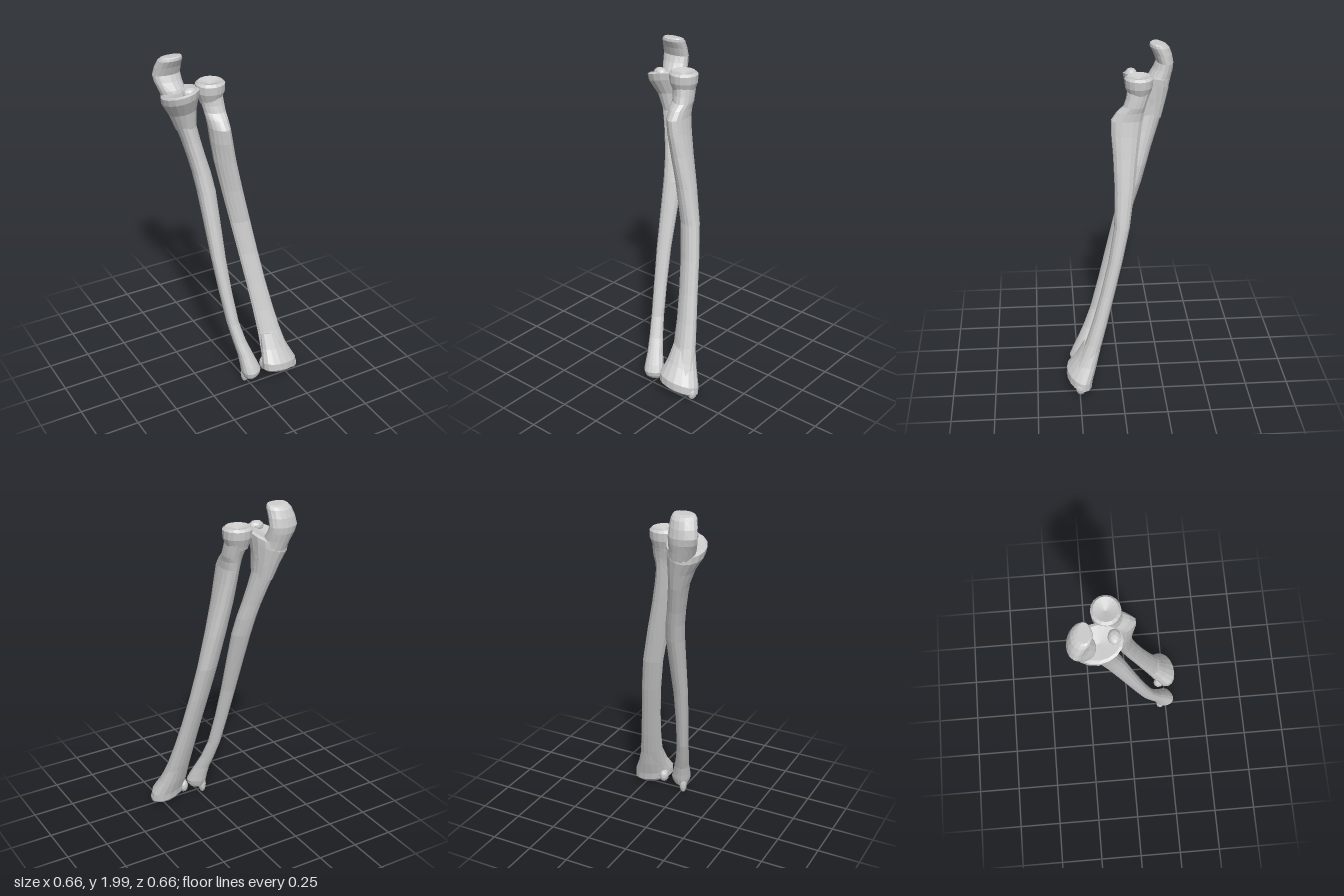
import * as THREE from 'three';

const SIDES = 16;
const grey = new THREE.MeshStandardMaterial({ color: 0xcccccc, flatShading: true });

function addMesh(group, name, geometry, x = 0, y = 0, z = 0) {
  const mesh = new THREE.Mesh(geometry, grey);
  mesh.name = name;
  mesh.position.set(x, y, z);
  group.add(mesh);
  return mesh;
}

// Skin of elliptical rings along a smooth path, from top to bottom.
// Station: [y, centreX, centreZ, radiusX, radiusZ]; tri makes the section slightly three-sided.
function loft(stations, { steps = 2, yaw = 0, slopeX = 0, slopeZ = 0, tri = 0, ridge = 0, dip = 0 }) {
  const spline = (pick) => new THREE.CatmullRomCurve3(stations.map(pick), false, 'catmullrom');
  const path = spline(([y, x, z]) => new THREE.Vector3(x, y, z));
  const size = spline(([, , , rx, rz]) => new THREE.Vector3(rx, 0, rz));
  const last = (stations.length - 1) * steps;
  const pos = [], index = [];
  for (let r = 0; r <= last; r++) {
    const c = path.getPoint(r / last), s = size.getPoint(r / last);
    for (let i = 0; i < SIDES; i++) {
      const a = (i / SIDES) * Math.PI * 2;
      const k = 1 + tri * Math.cos(3 * (a - ridge));
      const u = s.x * k * Math.cos(a), v = s.z * k * Math.sin(a);
      const dx = u * Math.cos(yaw) - v * Math.sin(yaw);
      const dz = u * Math.sin(yaw) + v * Math.cos(yaw);
      pos.push(c.x + dx, c.y + slopeX * dx + slopeZ * dz, c.z + dz);
    }
  }
  // end caps, hollowed by dip
  const top = pos.length / 3, bottom = top + 1;
  const a = path.getPoint(0), b = path.getPoint(1);
  pos.push(a.x, a.y - dip, a.z, b.x, b.y + dip, b.z);
  for (let i = 0; i < SIDES; i++) {
    const j = (i + 1) % SIDES;
    for (let r = 0; r < last; r++) {
      const p = r * SIDES, q = p + SIDES;
      index.push(p + i, p + j, q + i, p + j, q + j, q + i);
    }
    index.push(top, j, i, bottom, last * SIDES + i, last * SIDES + j);
  }
  const geo = new THREE.BufferGeometry();
  geo.setAttribute('position', new THREE.Float32BufferAttribute(pos, 3));
  geo.setIndex(index);
  geo.computeVertexNormals();
  return geo;
}

// Small rounded bony bump
function addBump(group, name, x, y, z, sx, sy, sz) {
  addMesh(group, name, new THREE.IcosahedronGeometry(1, 1), x, y, z).scale.set(sx, sy, sz);
}

function createRadius() {
  const g = new THREE.Group();
  g.name = 'radiusBone';

  // disc-shaped head with a shallow cup
  const profile = [[0.06, -0.12], [0.066, -0.1], [0.083, -0.055], [0.085, -0.01], [0.07, 0.004], [0, -0.018]];
  addMesh(g, 'radiusHead',
    new THREE.LatheGeometry(profile.map(([r, y]) => new THREE.Vector2(r, y)), SIDES), -0.06, 1.853, -0.118)
    .scale.z = 0.94;

  // neck, tuberosity and bowed shaft
  addMesh(g, 'radiusShaft', loft([
    [1.77, -0.056, -0.116, 0.067, 0.064],
    [1.69, -0.046, -0.093, 0.061, 0.062],
    [1.61, -0.045, -0.050, 0.056, 0.089],
    [1.40, -0.012, -0.040, 0.062, 0.070],
    [1.00, 0.073, -0.014, 0.062, 0.044],
    [0.60, 0.135, 0.075, 0.061, 0.040],
    [0.30, 0.178, 0.160, 0.072, 0.048],
    [0.16, 0.195, 0.215, 0.090, 0.060],
  ], { tri: 0.06, ridge: Math.PI }));

  // flared wrist end
  addMesh(g, 'radiusWristEnd', loft([
    [0.28, 0.180, 0.168, 0.070, 0.047],
    [0.19, 0.192, 0.205, 0.092, 0.060],
    [0.11, 0.203, 0.245, 0.122, 0.074],
    [0.065, 0.206, 0.250, 0.122, 0.072],
    [0.045, 0.206, 0.248, 0.098, 0.056],
  ], { steps: 1, yaw: -0.22, slopeX: -0.15, slopeZ: 0.2, dip: 0.015 }));
  addBump(g, 'ulnarNotchLip', 0.118, 0.09, 0.215, 0.03, 0.045, 0.035);
  addBump(g, 'radialStyloid', 0.302, 0.052, 0.245, 0.024, 0.04, 0.03);
  return g;
}

function createUlna() {
  const g = new THREE.Group();
  g.name = 'ulnaBone';

  // hooked elbow tip, hollow at the front
  addMesh(g, 'olecranon', loft([
    [1.992, -0.232, -0.235, 0.056, 0.032],
    [1.970, -0.238, -0.248, 0.072, 0.056],
    [1.88, -0.247, -0.281, 0.083, 0.049],
    [1.80, -0.232, -0.250, 0.076, 0.065],
    [1.66, -0.195, -0.205, 0.064, 0.074],
  ], { slopeZ: 0.08 }));

  // shelf in front of the notch, narrowing into the shaft
  addMesh(g, 'coronoid', loft([
    [1.81, -0.219, -0.165, 0.088, 0.112],
    [1.80, -0.219, -0.170, 0.104, 0.130],
    [1.76, -0.217, -0.175, 0.099, 0.128],
    [1.68, -0.198, -0.187, 0.074, 0.096],
    [1.58, -0.180, -0.183, 0.055, 0.074],
  ], { steps: 1, slopeX: 0.22, slopeZ: 0.2, dip: 0.015 }));
  addBump(g, 'coronoidLip', -0.2, 1.825, -0.085, 0.045, 0.032, 0.035);

  // shaft, tapering to a small rounded wrist end
  addMesh(g, 'ulnaShaft', loft([
    [1.70, -0.200, -0.193, 0.074, 0.092],
    [1.60, -0.184, -0.187, 0.057, 0.076],
    [1.40, -0.142, -0.137, 0.051, 0.060],
    [1.20, -0.110, -0.085, 0.054, 0.055],
    [0.80, -0.092, 0.024, 0.043, 0.040],
    [0.40, -0.055, 0.128, 0.036, 0.038],
    [0.20, -0.012, 0.205, 0.045, 0.046],
    [0.10, 0.008, 0.240, 0.060, 0.059],
    [0.055, 0.008, 0.239, 0.044, 0.042],
  ], { tri: 0.06 }));
  addBump(g, 'ulnarStyloid', -0.018, 0.06, 0.212, 0.023, 0.058, 0.025);
  return g;
}

export function createModel() {
  const model = new THREE.Group();
  model.name = 'forearmBones';
  model.add(createRadius(), createUlna());
  return model;
}
